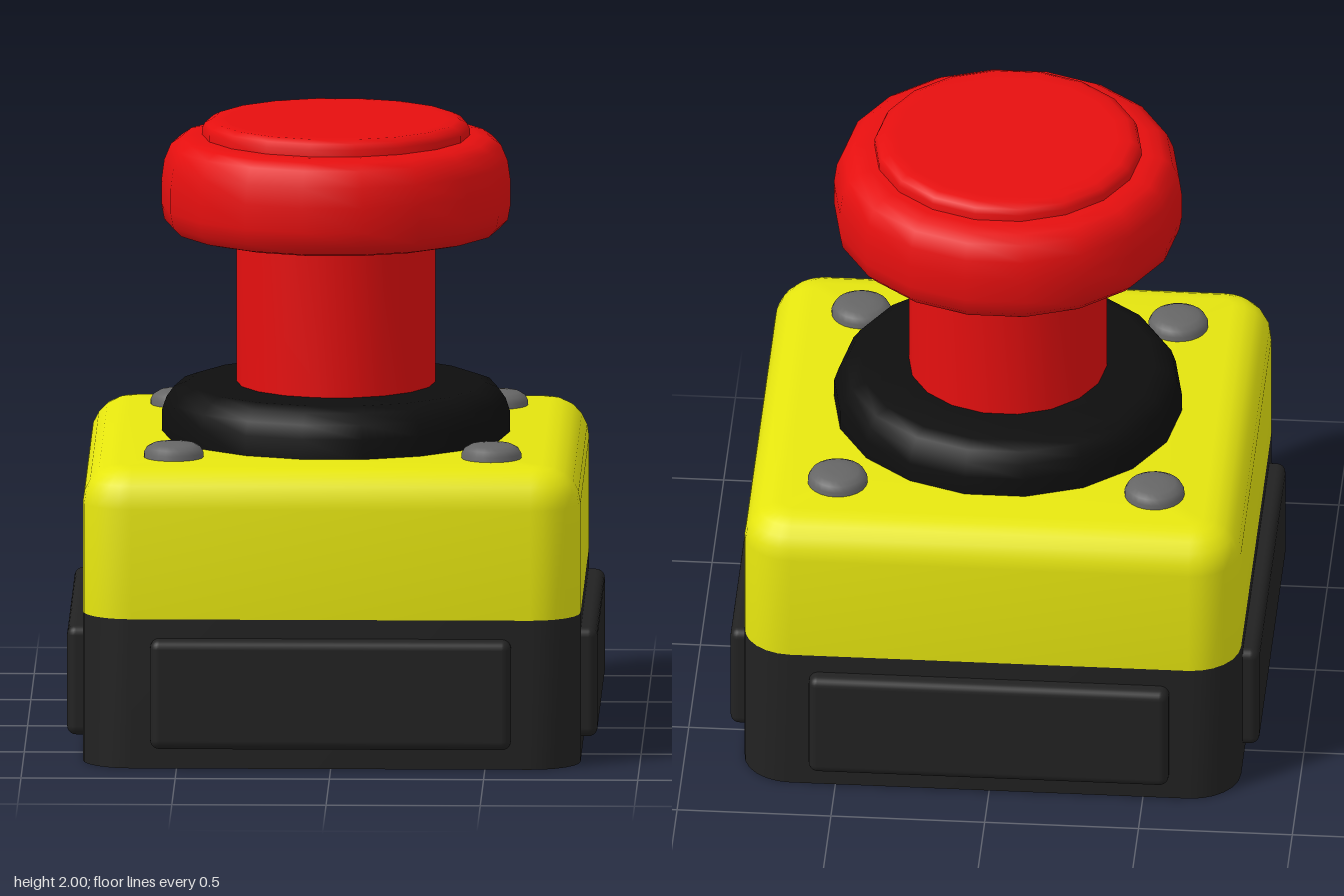
import * as THREE from 'three';
import { toCreasedNormals } from 'three/addons/utils/BufferGeometryUtils.js';
import { RoundedBoxGeometry } from 'three/addons/geometries/RoundedBoxGeometry.js';

const mat = (color) => new THREE.MeshStandardMaterial({ color });
const red = mat(0xe60f0f), yellow = mat(0xe6e60f), black = mat(0x222222);
const rubber = mat(0x0e0e0e), grey = mat(0x666666);

const HALF = 0.807, CORNER = 0.16;

function addPart(parent, name, geometry, material, x = 0, y = 0, z = 0) {
  const mesh = new THREE.Mesh(geometry, material);
  mesh.name = name;
  mesh.position.set(x, y, z);
  parent.add(mesh);
  return mesh;
}

// Turned part; the first corner points along +x
function turned(profile, sides) {
  const points = profile.map(([r, y]) => new THREE.Vector2(r, y));
  const geo = new THREE.LatheGeometry(points, sides).rotateY(Math.PI / 2);
  return toCreasedNormals(geo, 0.7);
}

// Rounded square block lofted through levels of [inset, y], closed at both ends
function roundedBlock(levels) {
  const steps = 6, pos = [], index = [];
  const ring = 4 * (steps + 1);
  for (const [inset, y] of levels) {
    const c = HALF - CORNER, r = CORNER - inset;
    for (let q = 0; q < 4; q++) {
      const mid = (q + 0.5) * Math.PI / 2;
      for (let s = 0; s <= steps; s++) {
        const a = (q + s / steps) * Math.PI / 2;
        pos.push(Math.sign(Math.cos(mid)) * c + r * Math.cos(a), y,
          Math.sign(Math.sin(mid)) * c + r * Math.sin(a));
      }
    }
  }
  for (let l = 0; l < levels.length - 1; l++) {
    for (let i = 0; i < ring; i++) {
      const a = l * ring + i, b = l * ring + (i + 1) % ring;
      index.push(a, a + ring, b, b, a + ring, b + ring);
    }
  }
  const bottom = pos.length / 3, top = bottom + 1, last = (levels.length - 1) * ring;
  pos.push(0, levels[0][1], 0, 0, levels[levels.length - 1][1], 0);
  for (let i = 0; i < ring; i++) {
    const j = (i + 1) % ring;
    index.push(bottom, i, j, top, last + j, last + i);
  }
  const geo = new THREE.BufferGeometry();
  geo.setAttribute('position', new THREE.Float32BufferAttribute(pos, 3));
  geo.setIndex(index);
  return toCreasedNormals(geo, 0.7);
}

export function createModel() {
  const model = new THREE.Group();
  model.name = 'emergencyStopButton';

  // Housing: black base and yellow cover with a rounded upper edge
  addPart(model, 'base', roundedBlock([[0, 0], [0, 0.49]]), black);
  const coverLevels = [[0, 0.49]];
  const bevel = 0.125;
  for (let i = 0; i <= 5; i++) {
    const a = i / 5 * Math.PI / 2;
    coverLevels.push([bevel * (1 - Math.cos(a)), 0.975 - bevel * (1 - Math.sin(a))]);
  }
  addPart(model, 'cover', roundedBlock(coverLevels), yellow);

  // Raised panel on each side of the base
  const panelGeo = new RoundedBoxGeometry(1.17, 0.36, 0.12, 3, 0.03);
  for (let i = 0; i < 4; i++) {
    const a = i * Math.PI / 2;
    const panel = addPart(model, 'sidePanel', panelGeo, black,
      0.8 * Math.sin(a), 0.248, 0.8 * Math.cos(a));
    panel.rotation.y = a;
  }

  // Domed screws at the corners of the cover
  const screwGeo = turned([[0.097, 0.95], [0.097, 0.99], [0.088, 1.007],
    [0.068, 1.018], [0.035, 1.022], [0, 1.022]], 24);
  for (const x of [-0.515, 0.515]) {
    for (const z of [-0.51, 0.51]) addPart(model, 'screw', screwGeo, grey, x, 0, z);
  }

  // Collar, stem and mushroom head
  addPart(model, 'collar', turned([[0.565, 0.96], [0.565, 1.04], [0.55, 1.085],
    [0.525, 1.12], [0.48, 1.137], [0.3, 1.137]], 18), rubber);
  addPart(model, 'stem', turned([[0.322, 1.1], [0.322, 1.66]], 18), red);
  addPart(model, 'head', turned([[0.3, 1.63], [0.48, 1.63], [0.53, 1.642], [0.557, 1.67],
    [0.566, 1.72], [0.566, 1.8], [0.557, 1.865], [0.535, 1.918], [0.503, 1.94],
    [0.46, 1.948], [0.4, 1.948]], 18), red);
  addPart(model, 'headCap', turned([[0.434, 1.93], [0.434, 1.97], [0.425, 1.988],
    [0.4, 2], [0.36, 2], [0, 2]], 18), red);

  return model;
}
